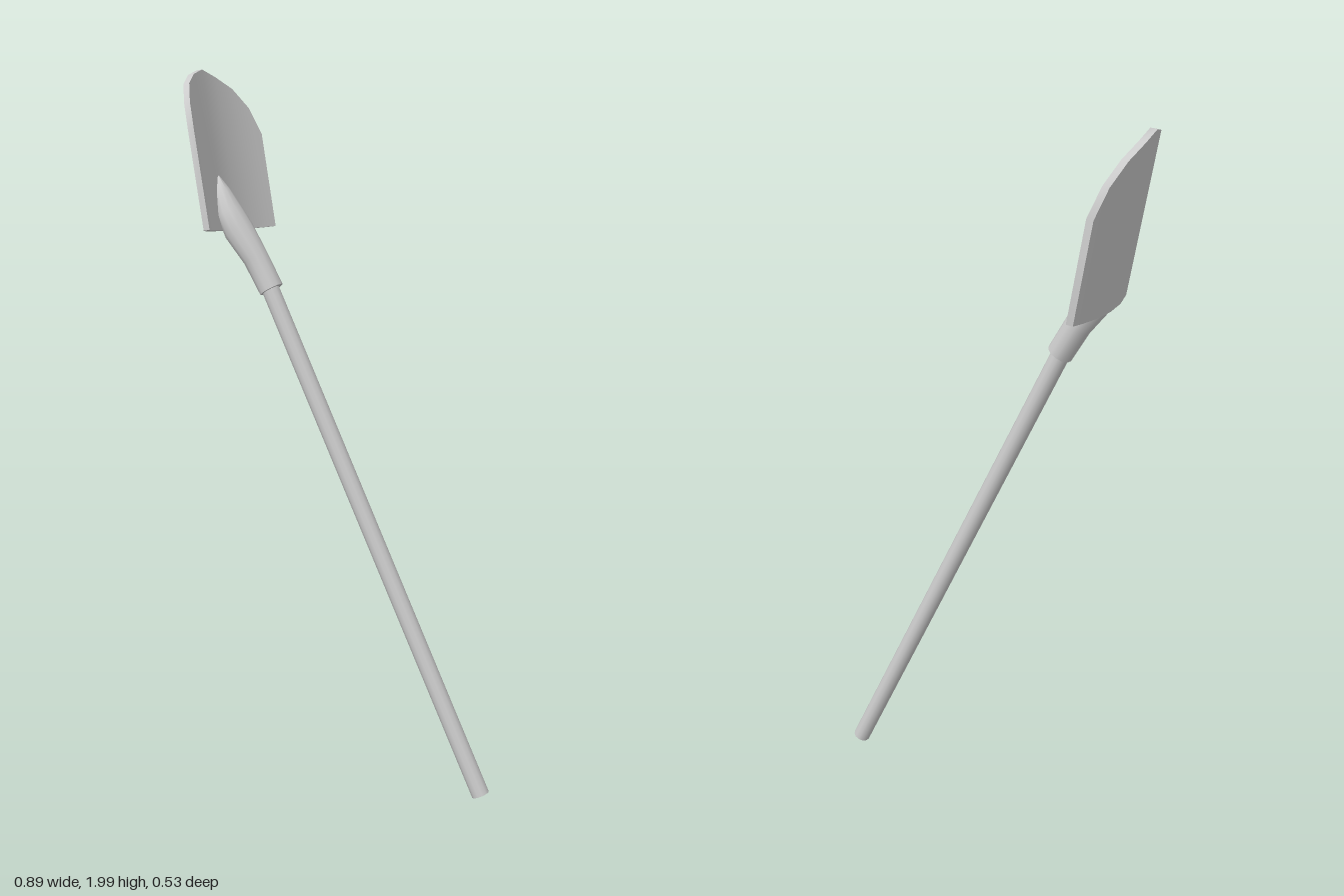
import * as THREE from 'three';
import { toCreasedNormals } from 'three/addons/utils/BufferGeometryUtils.js';

const V = (x, y, z) => new THREE.Vector3(x, y, z);
const material = new THREE.MeshStandardMaterial({ color: 0xcccccc });

// Skin between rings (each counter-clockwise about the loft direction), with closed ends.
function loft(rings, crease) {
  const n = rings[0].length;
  const index = [];
  rings.forEach((ring, i) => {
    if (i === rings.length - 1) return;
    for (let j = 0; j < n; j++) {
      const a = i * n + j, b = i * n + (j + 1) % n;
      index.push(a, b, b + n, a, b + n, a + n);
    }
  });
  const last = (rings.length - 1) * n;
  for (let j = 1; j < n - 1; j++) index.push(0, j + 1, j, last, last + j, last + j + 1);
  const geometry = new THREE.BufferGeometry().setFromPoints(rings.flat());
  geometry.setIndex(index);
  return toCreasedNormals(geometry, crease);
}

// Blade directions: across, up along the blade, and out of its hollow face
const across = V(0.466, 0.036, 0.885).normalize();
const up = V(-0.18, 0.98, 0.045).normalize();
const out = V(0.885, 0.15, -0.466).normalize();

function bladeGeometry() {
  const base = V(-0.27, 1.558, 0.0575);
  const half = 0.21, sag = 0.055, thickness = 0.018;
  // half outline: distance from the middle, height of the edge there
  const outline = [[0, 0.45], [0.065, 0.432], [0.13, 0.4], [0.18, 0.345], [0.21, 0.27]];
  const columns = [
    ...outline.slice(1).reverse().map(([u, h]) => [-u, h]),
    ...outline,
  ];
  const rings = columns.map(([u, h]) => {
    const bow = -sag * (1 - (u / half) ** 2);
    const point = (w, y) => base.clone()
      .addScaledVector(across, u)
      .addScaledVector(out, bow + w)
      .addScaledVector(up, y);
    return [point(-thickness, 0), point(0, 0), point(0, h), point(-thickness, h)];
  });
  return loft(rings, 0.6);
}

function socketGeometry() {
  // centre, half width across the blade, half depth
  const stations = [
    [V(-0.185, 1.39, 0.027), 0.035, 0.035],
    [V(-0.23, 1.475, 0.047), 0.036, 0.036],
    [V(-0.277, 1.55, 0.07), 0.046, 0.042],
    [V(-0.305, 1.6, 0.08), 0.045, 0.036],
    [V(-0.331, 1.66, 0.088), 0.027, 0.021],
    [V(-0.345, 1.7, 0.091), 0.003, 0.003],
  ];
  const sides = 12;
  const rings = stations.map(([centre, width, depth], i) => {
    const before = stations[Math.max(i - 1, 0)][0];
    const after = stations[Math.min(i + 1, stations.length - 1)][0];
    const tangent = after.clone().sub(before).normalize();
    const e1 = across.clone().addScaledVector(tangent, -across.dot(tangent)).normalize();
    const e2 = tangent.clone().cross(e1);
    return Array.from({ length: sides }, (_, k) => {
      const a = (k / sides) * Math.PI * 2;
      return centre.clone()
        .addScaledVector(e1, width * Math.cos(a))
        .addScaledVector(e2, depth * Math.sin(a));
    });
  });
  return loft(rings, 0.9);
}

export function createModel() {
  const group = new THREE.Group();
  group.name = 'shovel';
  const add = (name, geometry) => {
    const mesh = new THREE.Mesh(geometry, material);
    mesh.name = name;
    group.add(mesh);
    return mesh;
  };

  // Straight wooden handle, running a little way into the socket
  const bottom = V(0.417, 0.0105, -0.237);
  const top = V(-0.203, 1.425, 0.035);
  const axis = top.clone().sub(bottom);
  const handle = add('handle', new THREE.CylinderGeometry(0.025, 0.025, axis.length(), 12));
  handle.position.copy(bottom).add(top).multiplyScalar(0.5);
  handle.quaternion.setFromUnitVectors(V(0, 1, 0), axis.normalize());

  // Bent socket that tapers out against the hollow face
  add('socket', socketGeometry());

  // Curved blade with a rounded tip
  add('blade', bladeGeometry());
  return group;
}
